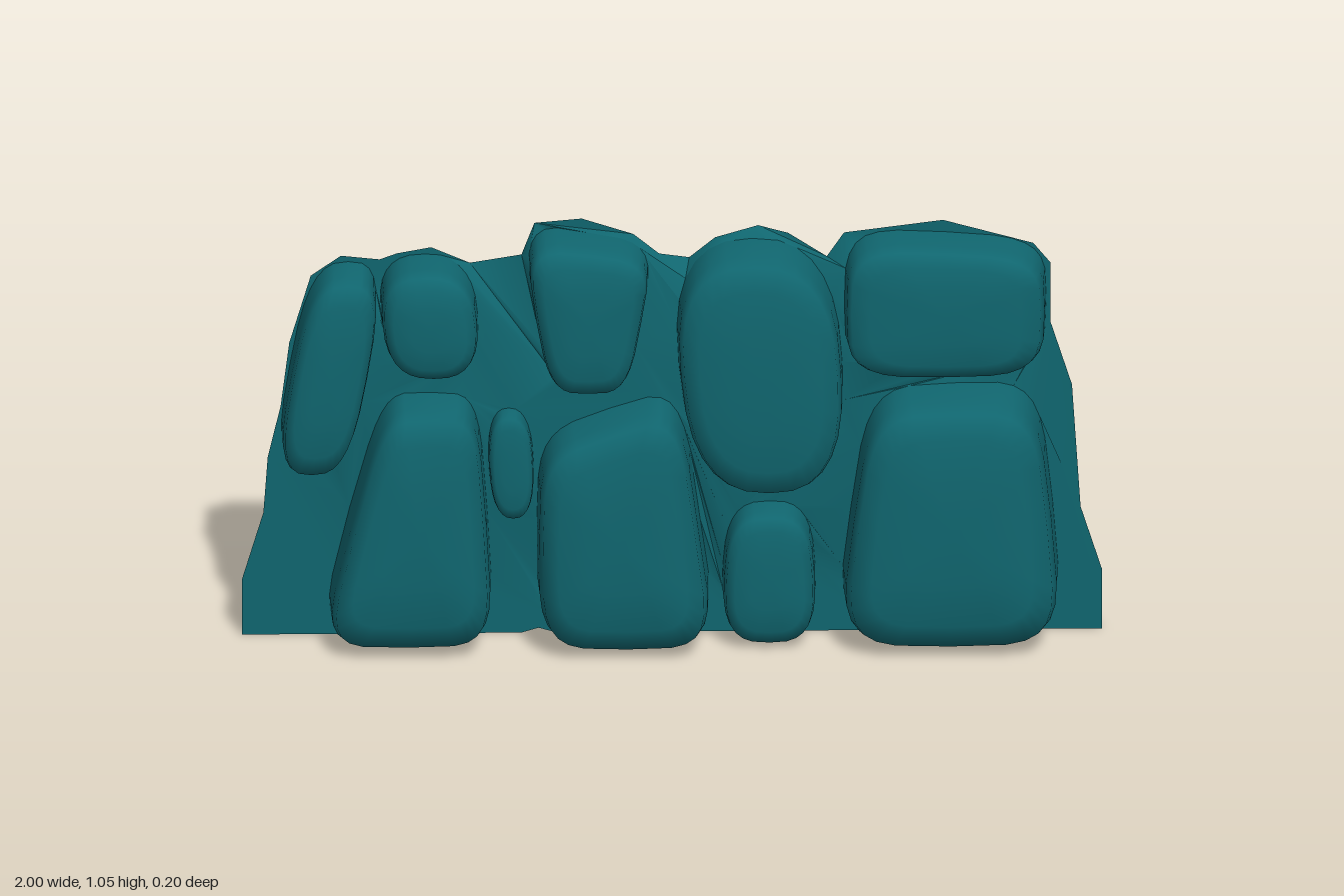
import * as THREE from 'three';
import { toCreasedNormals } from 'three/addons/utils/BufferGeometryUtils.js';

const BACK = -0.1; // rim of the open back
const SIDES = 28;  // points around each stone

// name, centre x, centre y, half width, half height, taper, lean, tilt of the top, squareness, front z
const stones = [
  ['upperLeftEdgeStone', -0.798, 0.69, 0.09, 0.255, 0, 0.045, 0, 3, 0.03],
  ['upperRoundStone', -0.565, 0.828, 0.112, 0.135, 0, -0.01, 0, 2.6, 0.045],
  ['lowerLeftSlab', -0.59, 0.32, 0.16, 0.308, -0.3, 0.028, 0, 5, 0.085],
  ['smallChinkStone', -0.375, 0.455, 0.052, 0.135, 0, -0.005, 0, 2.5, 0],
  ['upperCentreStone', -0.195, 0.835, 0.125, 0.185, 0.25, 0, -0.02, 4, 0.045],
  ['lowerCentreSlab', -0.125, 0.3, 0.19, 0.29, -0.12, -0.02, 0.06, 4.5, 0.1],
  ['middleStone', 0.205, 0.7, 0.19, 0.305, 0.03, -0.02, 0, 2.6, 0.07],
  ['smallBaseStone', 0.225, 0.177, 0.107, 0.17, -0.08, 0, 0, 3, 0.03],
  ['lowerRightSlab', 0.65, 0.325, 0.235, 0.315, -0.15, 0.005, 0, 4.5, 0.1],
  ['upperRightStone', 0.635, 0.845, 0.235, 0.165, 0, 0, -0.015, 4, 0.03],
];

// Silhouette of the whole wall
const wallOutline = [
  [-1, 0], [-1, 0.14], [-0.95, 0.31], [-0.94, 0.45], [-0.91, 0.58], [-0.89, 0.74], [-0.84, 0.91], [-0.77, 0.96],
  [-0.68, 0.95], [-0.64, 0.965], [-0.56, 0.98], [-0.47, 0.94], [-0.35, 0.96], [-0.32, 1.04], [-0.21, 1.05],
  [-0.09, 1.01], [-0.03, 0.96], [0.04, 0.95], [0.1, 1], [0.2, 1.03], [0.27, 1.01], [0.36, 0.95], [0.4, 1.01],
  [0.63, 1.04], [0.84, 0.98], [0.88, 0.93], [0.88, 0.78], [0.93, 0.62], [0.95, 0.31], [1, 0.15], [1, 0],
  [-0.27, 0], [-0.31, 0.012], [-0.35, 0],
];

// Depth of the joints: flat at the edges, swelling gently in the middle
function jointDepth(x, y) {
  const k = 1 - (x / 0.85) ** 2 - ((y - 0.6) / 0.45) ** 2;
  return BACK + 0.05 * Math.sqrt(Math.max(0, k));
}

// Rounded-square outline, counter-clockwise, narrowed and leaned with height
function stoneOutline([, cx, cy, w, h, taper, lean, tilt, square]) {
  const soften = (k) => Math.sign(k) * Math.abs(k) ** (2 / square);
  return Array.from({ length: SIDES }, (_, i) => {
    const a = (i / SIDES) * Math.PI * 2;
    const u = soften(Math.cos(a)), v = soften(Math.sin(a));
    return new THREE.Vector2(
      cx + lean * v + w * (1 + taper * v) * u,
      cy + h * v + tilt * u * Math.max(v, 0),
    );
  });
}

// Hollow domed stone: shrinking rings rise from the joint to the front face
function stoneGeometry(outline, cx, cy, front) {
  const rings = [[1, 0], [0.98, 0.58], [0.935, 0.84], [0.75, 0.95], [0.4, 1]];
  const pos = [], index = [];
  for (const [s, t] of rings) {
    for (const p of outline) {
      const z = THREE.MathUtils.lerp(jointDepth(p.x, p.y), front, t);
      pos.push(cx + (p.x - cx) * s, cy + (p.y - cy) * s, z);
    }
  }
  pos.push(cx, cy, front);
  const last = rings.length - 1;
  for (let i = 0; i < SIDES; i++) {
    const j = (i + 1) % SIDES;
    for (let r = 0; r < last; r++) {
      const a = r * SIDES + i, b = r * SIDES + j;
      index.push(a, b, b + SIDES, a, b + SIDES, a + SIDES);
    }
    index.push(last * SIDES + i, last * SIDES + j, rings.length * SIDES);
  }
  const geo = new THREE.BufferGeometry();
  geo.setAttribute('position', new THREE.Float32BufferAttribute(pos, 3));
  geo.setIndex(index);
  geo.computeVertexNormals();
  return geo;
}

// Joint sheet with a hole behind every stone
function mortarGeometry(outlines) {
  const shape = new THREE.Shape(wallOutline.map(([x, y]) => new THREE.Vector2(x, y)));
  shape.holes = outlines.map((o) => new THREE.Path(o));
  const geo = new THREE.ShapeGeometry(shape, 1);
  const pos = geo.attributes.position;
  // The silhouette points come first and stay on the rim; the holes follow the joints
  for (let i = 0; i < pos.count; i++) {
    pos.setZ(i, i < wallOutline.length ? BACK : jointDepth(pos.getX(i), pos.getY(i)));
  }
  return toCreasedNormals(geo, 0.9);
}

export function createModel() {
  const group = new THREE.Group();
  group.name = 'stoneWall';
  const teal = new THREE.MeshStandardMaterial({ color: 0x10666f, side: THREE.DoubleSide });
  teal.name = 'tealStone';

  const add = (name, geo) => {
    const mesh = new THREE.Mesh(geo, teal);
    mesh.name = name;
    group.add(mesh);
  };
  const outlines = stones.map(stoneOutline);
  add('mortarSheet', mortarGeometry(outlines));
  stones.forEach((s, i) => add(s[0], stoneGeometry(outlines[i], s[1], s[2], s[9])));
  return group;
}
